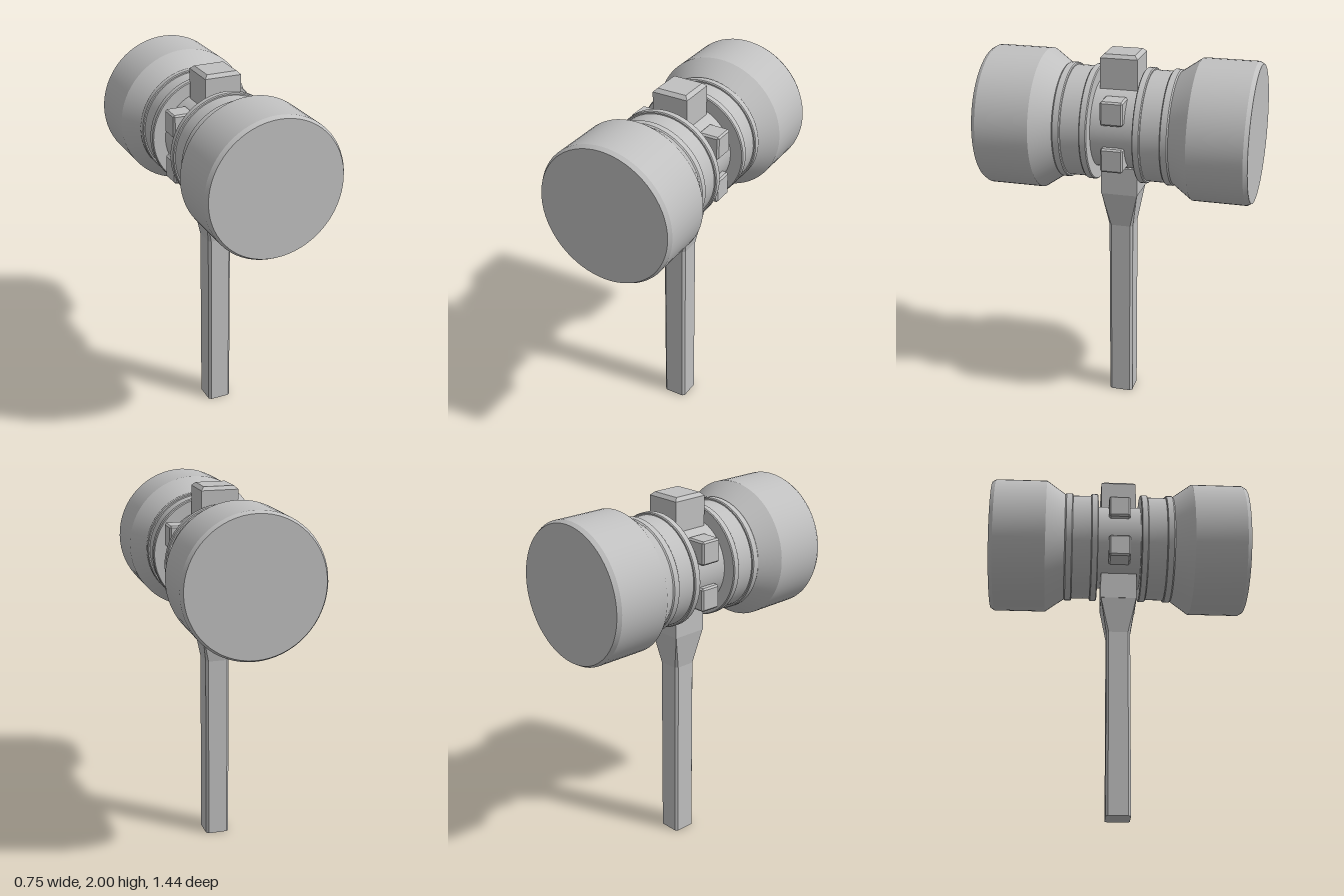
import * as THREE from 'three';
import { toCreasedNormals } from 'three/addons/utils/BufferGeometryUtils.js';
import { ConvexGeometry } from 'three/addons/geometries/ConvexGeometry.js';

const HEAD_Y = 1.607;

// Box with bevelled edges on all sides
function bevelBox(hx, hy, hz, b) {
  const pts = [];
  for (const sx of [-1, 1]) for (const sy of [-1, 1]) for (const sz of [-1, 1]) {
    pts.push(new THREE.Vector3(sx * hx, sy * (hy - b), sz * (hz - b)));
    pts.push(new THREE.Vector3(sx * (hx - b), sy * hy, sz * (hz - b)));
    pts.push(new THREE.Vector3(sx * (hx - b), sy * (hy - b), sz * hz));
  }
  return new ConvexGeometry(pts);
}

// Convex solid between square sections [y, half width, corner cut]
function squareLoft(sections) {
  const pts = [];
  for (const [y, h, c] of sections)
    for (const sx of [-1, 1]) for (const sz of [-1, 1]) {
      pts.push(new THREE.Vector3(sx * h, y, sz * (h - c)));
      if (c > 0) pts.push(new THREE.Vector3(sx * (h - c), y, sz * h));
    }
  return new ConvexGeometry(pts);
}

export function createModel() {
  const model = new THREE.Group();
  model.name = 'hammer';
  const grey = new THREE.MeshStandardMaterial({ color: 0xc0c0c0 });
  grey.name = 'grey';

  function add(name, geometry, x = 0, y = 0, z = 0) {
    const mesh = new THREE.Mesh(geometry, grey);
    mesh.name = name;
    mesh.position.set(x, y, z);
    model.add(mesh);
    return mesh;
  }

  // Turned head: half profile [radius, z] mirrored about the middle
  const half = [
    [0.235, 0.12], [0.302, 0.12], [0.307, 0.125], [0.307, 0.155], [0.302, 0.16],
    [0.295, 0.16], [0.295, 0.263], [0.302, 0.263], [0.307, 0.268], [0.307, 0.3],
    [0.302, 0.307], [0.375, 0.412], [0.375, 0.7], [0.362, 0.722], [0, 0.722],
  ];
  const profile = [
    ...half.slice().reverse().map(([r, z]) => new THREE.Vector2(r, -z)),
    ...half.map(([r, z]) => new THREE.Vector2(r, z)),
  ];
  const head = new THREE.LatheGeometry(profile, 64);
  head.rotateX(Math.PI / 2);
  add('head', toCreasedNormals(head, 0.35), 0, HEAD_Y, 0);

  // Block on top with a bevelled upper face
  add('topBlock', squareLoft([[1.82, 0.1, 0], [1.982, 0.1, 0], [2, 0.082, 0]]));

  // Four studs around the waist
  for (const sx of [-1, 1])
    for (const sy of [-1, 1])
      add('stud', bevelBox(0.06, 0.064, 0.06, 0.009), sx * 0.2, HEAD_Y + sy * 0.126, 0);

  // Socket, taper and handle
  add('socket', squareLoft([[1.235, 0.1, 0], [1.387, 0.1, 0]]));
  add('taper', squareLoft([[1.04, 0.066, 0.013], [1.235, 0.098, 0]]));
  add('handle', squareLoft([[0, 0.066, 0.013], [1.04, 0.066, 0.013]]));

  return model;
}
